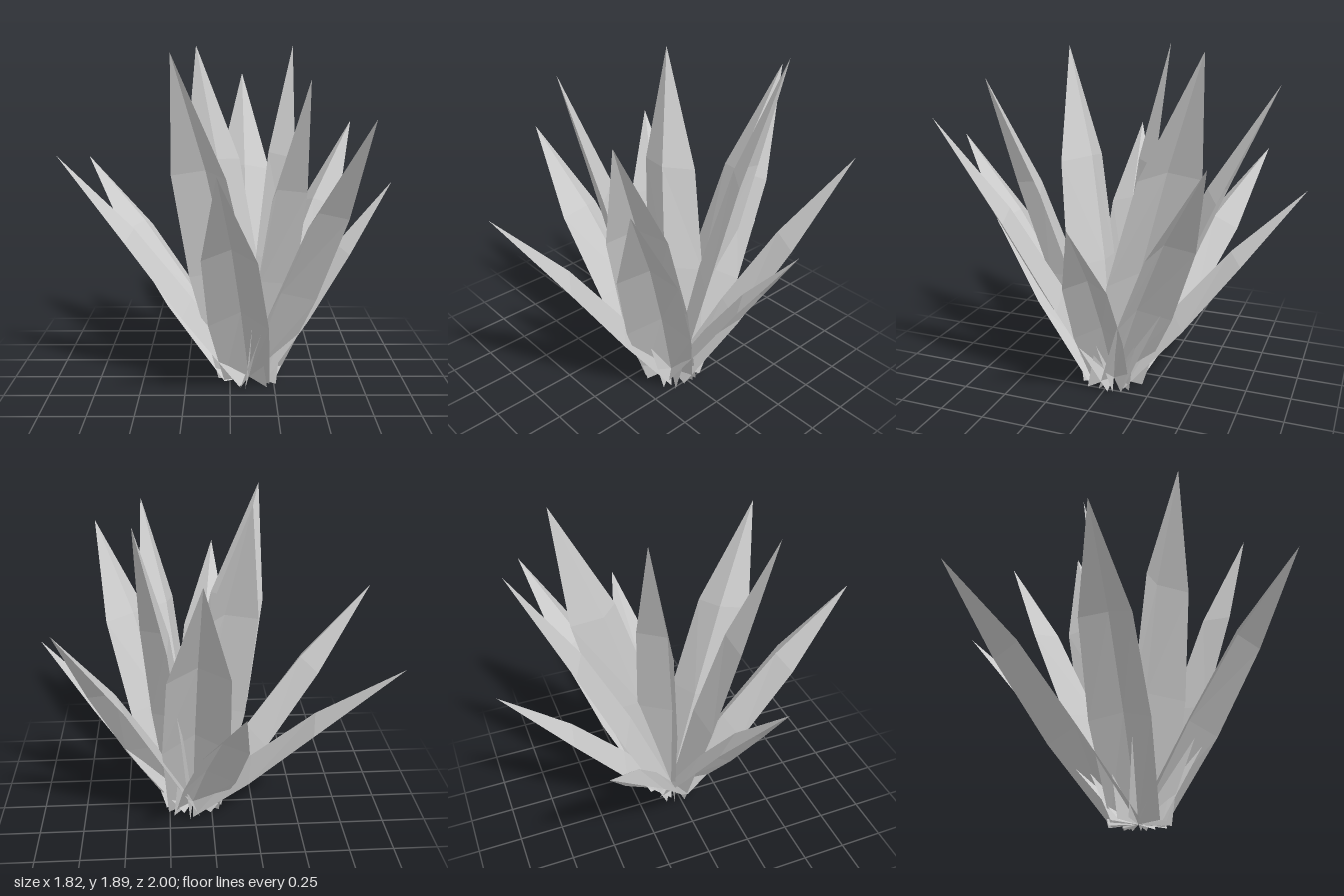
import * as THREE from 'three';

// Common root of all leaves
const ROOT = new THREE.Vector3(0.11, 0, 0);

// Leaf tips in order around the plant: x, y, z, twist of the leaf in degrees
const LEAVES = [
  [-0.10, 1.16, -1.00, 0], [0.08, 1.72, -0.86, 0], [0.38, 1.89, -0.55, -39], [0.76, 1.43, -0.67, 0],
  [0.91, 1.14, -0.08, 0], [0.66, 1.56, 0.74, 3], [0.375, 1.73, 0.60, 26], [-0.06, 1.34, 1.00, 0],
  [-0.29, 1.85, 0.42, 19], [-0.91, 1.32, 0.18, 0], [-0.89, 1.21, -0.66, 0], [-0.19, 1.89, -0.22, -36],
];

// Folded sections: position along leaf, then per unit length the half width,
// the inward rise of the midrib and the outward drop of the edges
const SECTIONS = [
  [0, 0.078, 0, 0.048],
  [0.355, 0.096, 0.03, 0.03],
  [0.665, 0.082, 0.035, 0.011],
];

// A thin pointed leaf, folded along its midrib, with the fold towards the plant's axis
function leafGeometry(tip, twist) {
  const span = tip.clone().sub(ROOT);
  const length = span.length();
  const heading = Math.atan2(span.x, span.z) + THREE.MathUtils.degToRad(twist);
  const out = new THREE.Vector3(Math.sin(heading), 0, Math.cos(heading));
  const side = new THREE.Vector3(0, 1, 0).cross(out);
  const under = side.clone().cross(span).normalize();
  if (under.dot(out) < 0) under.negate();

  const rows = SECTIONS.map(([t, width, rise, drop]) => {
    const normal = t === 0 ? out : under;
    const centre = ROOT.clone().addScaledVector(span, t);
    const edge = (s) => centre.clone()
      .addScaledVector(side, s * width * length)
      .addScaledVector(normal, drop * length);
    return [edge(-1), centre.clone().addScaledVector(normal, -rise * length), edge(1)];
  });

  const points = [];
  for (let k = 0; k < 2; k++) {
    for (let i = 0; i < rows.length - 1; i++) {
      const [a, b, c, d] = [rows[i][k], rows[i][k + 1], rows[i + 1][k + 1], rows[i + 1][k]];
      points.push(a, b, c, a, c, d);
    }
    const last = rows[rows.length - 1];
    points.push(last[k], last[k + 1], tip);
  }

  const geometry = new THREE.BufferGeometry().setFromPoints(points);
  geometry.computeVertexNormals();
  return geometry;
}

export function createModel() {
  const plant = new THREE.Group();
  plant.name = 'spikyPlant';
  const material = new THREE.MeshStandardMaterial({
    color: 0xcccccc, flatShading: true, side: THREE.DoubleSide,
  });
  LEAVES.forEach(([x, y, z, twist], i) => {
    const leaf = new THREE.Mesh(leafGeometry(new THREE.Vector3(x, y, z), twist), material);
    leaf.name = `leaf${i + 1}`;
    plant.add(leaf);
  });
  return plant;
}
